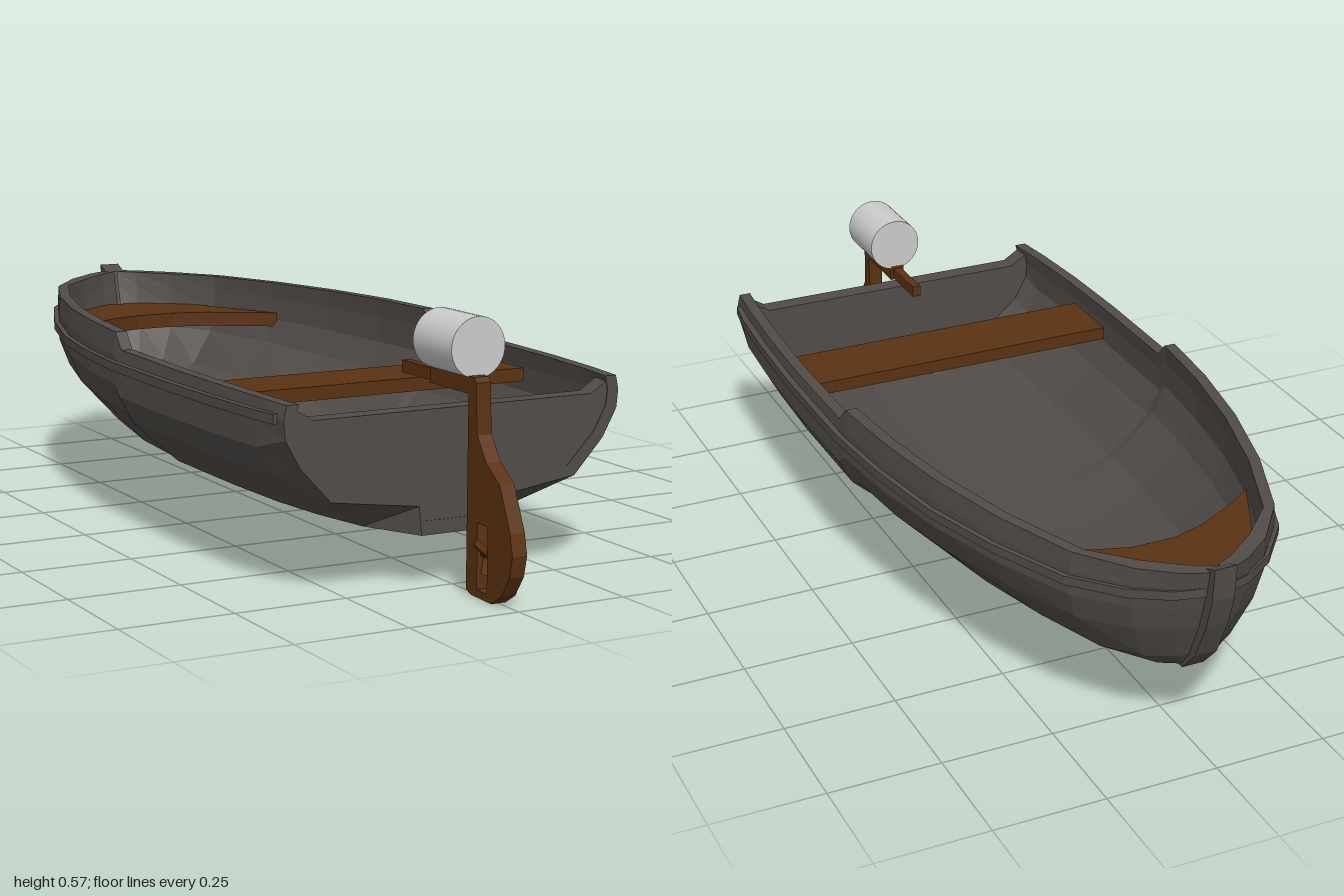
import * as THREE from 'three';

const mat = (color) => new THREE.MeshStandardMaterial({ color, flatShading: true });

// Skin over rings of points, ordered from bow to stern, with closed ends
function loft(rings) {
  const n = rings[0].length, pos = rings.flat(2), idx = [];
  const quad = (a, b, c, d) => idx.push(a, b, c, a, c, d);
  for (let i = 0; i < rings.length - 1; i++)
    for (let j = 0; j < n; j++) {
      const k = (j + 1) % n;
      quad(i * n + j, i * n + k, (i + 1) * n + k, (i + 1) * n + j);
    }
  const last = (rings.length - 1) * n;
  for (let j = 0; j < n / 2 - 1; j++) {
    quad(last + j, last + j + 1, last + n - 2 - j, last + n - 1 - j);
    quad(n - 1 - j, n - 2 - j, j + 1, j);
  }
  const g = new THREE.BufferGeometry();
  g.setAttribute('position', new THREE.Float32BufferAttribute(pos, 3));
  g.setIndex(idx);
  g.computeVertexNormals();
  return g;
}

const shapeOf = (pts) => new THREE.Shape(pts.map(([x, y]) => new THREE.Vector2(x, y)));
const extrude = (shape, depth) => new THREE.ExtrudeGeometry(shape, { depth, bevelEnabled: false });

// Plate drawn in the z-y plane, centred on x = 0
function sidePlate(shape, width) {
  return extrude(shape, width).translate(0, 0, -width / 2).rotateY(-Math.PI / 2);
}

// Hull stations: z at rim, z at keel, half beam, keel height, rim height
const STATIONS = [
  [-0.985, -0.87, 0.02, 0.19, 0.46],
  [-0.96, -0.86, 0.075, 0.18, 0.458],
  [-0.9, -0.83, 0.15, 0.168, 0.456],
  [-0.79, -0.76, 0.235, 0.155, 0.455],
  [-0.6, -0.59, 0.31, 0.14, 0.455],
  [-0.4, -0.4, 0.365, 0.12, 0.455],
  [-0.2, -0.2, 0.4, 0.102, 0.455],
  [-0.02, -0.02, 0.418, 0.1, 0.453],
  [0.015, 0.015, 0.42, 0.1, 0.417],
  [0.3, 0.3, 0.422, 0.1, 0.415],
  [0.5, 0.5, 0.416, 0.102, 0.414],
  [0.66, 0.66, 0.406, 0.108, 0.412],
  [0.76, 0.76, 0.395, 0.115, 0.41],
];
// Half section as fractions of beam and height
const SECTION = [[0, 0], [0.22, 0], [0.4, 0.05], [0.66, 0.17], [0.92, 0.47], [1, 0.67], [1, 0.86], [0.985, 1]];
// Half outline of the stern, with cut-away lower corners
const STERN = [[0, 0.115], [0.08, 0.115], [0.087, 0.177], [0.29, 0.205], [0.36, 0.28], [0.393, 0.34], [0.397, 0.38], [0.39, 0.41]];

const rake = ([zTop, zKeel], h) => zKeel + (zTop - zKeel) * Math.sqrt(Math.max(h, 0));

function halfSection(s, stern, inner) {
  const [, , beam, keel, rim] = s;
  return SECTION.map(([fx, fh], j) => {
    const x = stern ? STERN[j][0] : fx * beam;
    const h = stern ? (STERN[j][1] - keel) / (rim - keel) : fh;
    const z = rake(s, h);
    if (!inner) return [x, keel + h * (rim - keel), z];
    const floor = keel + 0.03;
    const k = Math.max(beam - 0.027, 0.004) / beam;
    return [x * k, floor + h * (rim - floor), z < -0.8 ? z * 0.975 : z];
  });
}

function hullGeometry() {
  const mirror = (half) => [...half.slice(1).reverse().map(([x, y, z]) => [-x, y, z]), ...half];
  return loft(STATIONS.map((s, i) => {
    const stern = i === STATIONS.length - 1;
    return [...mirror(halfSection(s, stern, false)), ...mirror(halfSection(s, stern, true)).reverse()];
  }));
}

// Rubbing strake along one side
function railGeometry() {
  return loft(STATIONS.map((s, i) => {
    const y = 0.37 + (i < 5 ? (5 - i) * 0.006 : 0), b = s[2];
    const z = Math.min(rake(s, 0.8), 0.735);
    return [[b - 0.012, y, z], [b + 0.012, y, z], [b + 0.012, y + 0.02, z], [b - 0.012, y + 0.02, z]];
  }));
}

export function createModel() {
  const model = new THREE.Group();
  const dark = mat(0x514c48), wood = mat(0x5a3212);
  const grey = new THREE.MeshStandardMaterial({ color: 0xcccccc });
  const add = (name, geometry, material, parent = model) => {
    const m = new THREE.Mesh(geometry, material);
    m.name = name;
    parent.add(m);
    return m;
  };

  // Hull, strakes and stem
  add('hull', hullGeometry(), dark);
  for (const side of [1, -1]) {
    add(side > 0 ? 'leftRail' : 'rightRail', railGeometry(), dark).scale.x = side;
  }
  add('stemPost', sidePlate(shapeOf([
    [-1, 0.475], [-0.965, 0.46], [-0.95, 0.38], [-0.9, 0.24], [-0.86, 0.185],
    [-0.885, 0.185], [-0.935, 0.24], [-0.975, 0.33], [-0.995, 0.4],
  ]), 0.05), dark);

  // Transom board, lower than the rim
  const half = [...STERN.slice(1, -1), [0.392, 0.403], [0.37, 0.4], [0.33, 0.375]];
  const outline = [...half, ...half.map(([x, y]) => [-x, y]).reverse()];
  add('transom', extrude(shapeOf(outline), 0.043).translate(0, 0, 0.715), dark);

  // Seats
  add('bench', new THREE.BoxGeometry(0.75, 0.03, 0.16), wood).position.set(0, 0.363, 0.352);
  const edge = [[0.04, 0.925], [0.15, 0.86], [0.235, 0.69], [0.285, 0.585], [0.23, 0.625], [0.13, 0.68], [0.05, 0.705]];
  const bowShape = shapeOf([...edge, ...edge.map(([x, y]) => [-x, y]).reverse()]);
  add('bowSeat', extrude(bowShape, 0.035).rotateX(-Math.PI / 2).translate(0, 0.343, 0), wood);

  // Outboard motor: leg with a window for the propeller
  const motor = new THREE.Group();
  motor.name = 'outboardMotor';
  model.add(motor);
  const leg = shapeOf([
    [0.83, 0.012], [0.85, 0.005], [0.925, 0.003], [0.96, 0.025], [0.99, 0.07], [1, 0.115], [0.99, 0.16],
    [0.95, 0.25], [0.9, 0.285], [0.865, 0.335], [0.86, 0.4], [0.86, 0.44], [0.85, 0.45], [0.83, 0.45],
  ]);
  leg.holes.push(new THREE.Path([[0.87, 0.02], [0.87, 0.158], [0.908, 0.158], [0.908, 0.02]]
    .map(([x, y]) => new THREE.Vector2(x, y))));
  add('motorLeg', sidePlate(leg, 0.034), wood, motor);
  add('motorMount', new THREE.BoxGeometry(0.034, 0.036, 0.16), wood, motor).position.set(0, 0.432, 0.76);
  add('tiller', new THREE.BoxGeometry(0.02, 0.026, 0.14), wood, motor).position.set(0, 0.43, 0.625);

  // Engine drum
  add('engine', new THREE.CylinderGeometry(0.063, 0.063, 0.15, 40).rotateX(Math.PI / 2), grey, motor)
    .position.set(0.005, 0.506, 0.755);

  // Propeller
  const propeller = new THREE.Group();
  propeller.name = 'propeller';
  propeller.position.set(0, 0.095, 0.885);
  motor.add(propeller);
  add('hub', new THREE.CylinderGeometry(0.01, 0.01, 0.04, 8).rotateX(Math.PI / 2), wood, propeller);
  for (let i = 0; i < 3; i++) {
    const blade = new THREE.BoxGeometry(0.016, 0.042, 0.005).rotateY(0.5).translate(0, 0.022, 0);
    add('blade', blade, wood, propeller).rotation.z = 0.85 + (i * Math.PI * 2) / 3;
  }
  return model;
}
